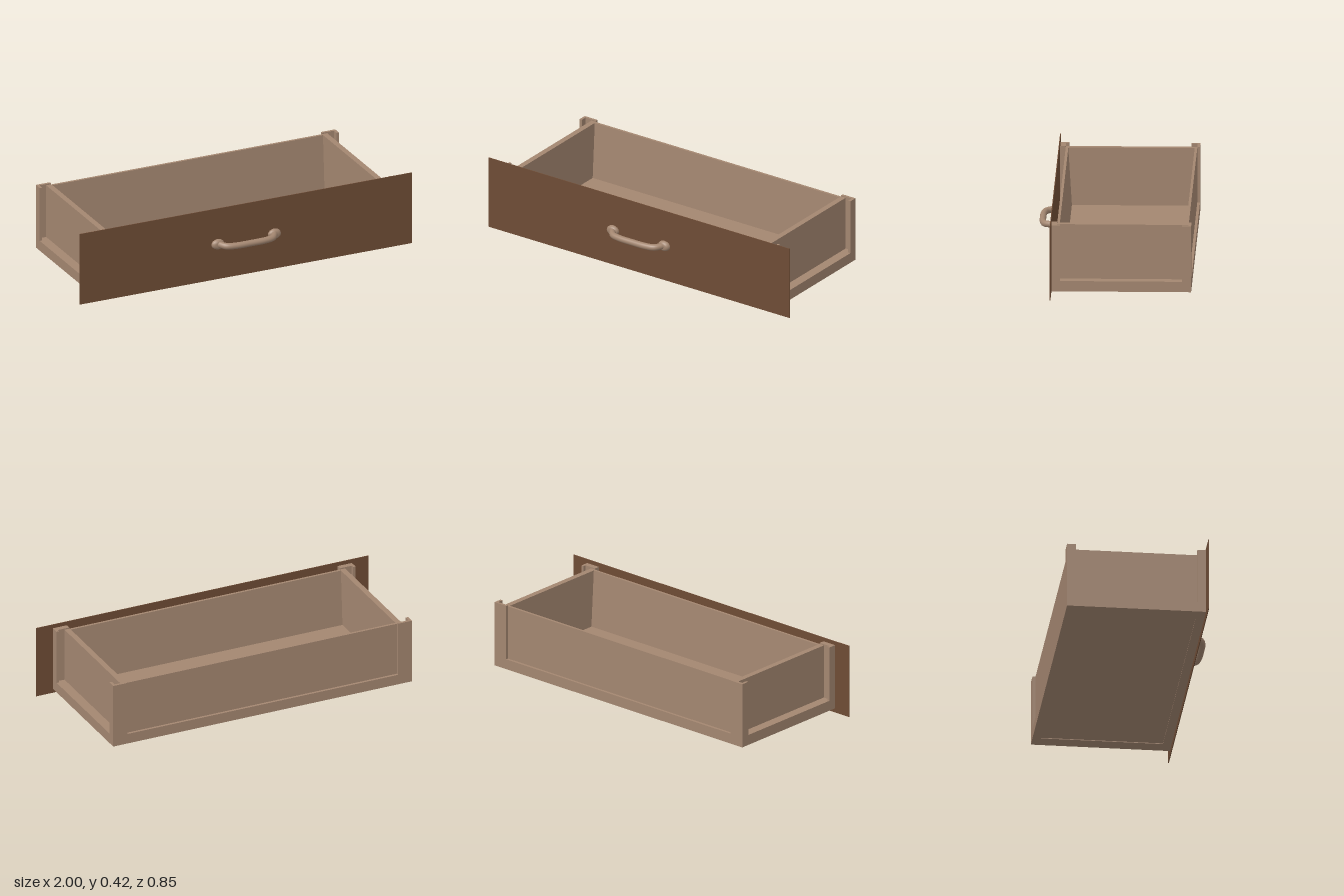
import * as THREE from 'three';

const wood = new THREE.MeshStandardMaterial({ color: 0xa38670 });
wood.name = 'light wood';
const darkWood = new THREE.MeshStandardMaterial({ color: 0x6e4c35 });
darkWood.name = 'dark wood';

export function createModel() {
  const root = new THREE.Group();
  root.name = 'drawer';

  const add = (name, geometry, material = wood) => {
    const mesh = new THREE.Mesh(geometry, material);
    mesh.name = name;
    root.add(mesh);
    return mesh;
  };
  // Box given by its lower and upper limits on each axis
  const box = (name, x0, x1, y0, y1, z0, z1, material) => {
    const mesh = add(name, new THREE.BoxGeometry(x1 - x0, y1 - y0, z1 - z0), material);
    mesh.position.set((x0 + x1) / 2, (y0 + y1) / 2, (z0 + z1) / 2);
    return mesh;
  };

  const base = 0.025, rail = 0.083, wallTop = 0.388, postTop = 0.395;
  const back = -0.425, front = 0.335;

  // Thin front board
  box('frontBoard', -1, 1, 0, 0.416, 0.337, 0.341, darkWood);

  // Floor, set slightly above the underside of the frame
  box('floor', -0.845, 0.845, base + 0.004, 0.065, -0.41, 0.305);

  // Bottom frame with a rectangular opening
  const frame = new THREE.Shape();
  frame.moveTo(-0.9, back).lineTo(0.9, back).lineTo(0.9, front).lineTo(-0.9, front).closePath();
  const hole = new THREE.Path();
  hole.moveTo(-0.815, -0.378).lineTo(-0.815, 0.288).lineTo(0.815, 0.288).lineTo(0.815, -0.378).closePath();
  frame.holes.push(hole);
  const frameGeo = new THREE.ExtrudeGeometry(frame, { depth: 0.02, bevelEnabled: false });
  frameGeo.rotateX(Math.PI / 2);
  add('bottomFrame', frameGeo).position.y = base + 0.02;

  // Bottom rails around the box
  box('backRail', -0.9, 0.9, base, rail, back, -0.41);
  box('frontRail', -0.9, 0.9, base, rail, 0.305, front);

  // Side walls, side rails and L-shaped corner posts
  for (const s of [-1, 1]) {
    const sideBox = (name, x0, x1, y0, y1, z0, z1) =>
      box(name, Math.min(s * x0, s * x1), Math.max(s * x0, s * x1), y0, y1, z0, z1);
    sideBox('sideWall', 0.813, 0.845, 0.04, wallTop, -0.41, 0.305);
    sideBox('sideRail', 0.845, 0.9, base, rail, back, front);
    sideBox('backPostSide', 0.885, 0.9, base, postTop, back, -0.376);
    sideBox('backPostEnd', 0.815, 0.9, base, postTop, back, -0.41);
    sideBox('frontPostSide', 0.885, 0.9, base, postTop, 0.288, front);
    sideBox('frontPostEnd', 0.815, 0.9, base, postTop, 0.305, front);
  }

  // Front and back walls, with inner faces that lean outward toward the top
  const wall = (name, outer, innerTop, innerBottom) => {
    const p = new THREE.Shape();
    p.moveTo(-outer, 0.04).lineTo(-innerBottom, 0.04).lineTo(-innerTop, wallTop).lineTo(-outer, wallTop).closePath();
    const geo = new THREE.ExtrudeGeometry(p, { depth: 1.69, bevelEnabled: false });
    geo.translate(0, 0, -0.845);
    geo.rotateY(Math.PI / 2);
    add(name, geo);
  };
  wall('backWall', -0.41, -0.396, -0.375);
  wall('frontWall', 0.305, 0.291, 0.27);

  // Bowed handle bar
  const half = [[0.168, 0.21, 0.345], [0.158, 0.209, 0.366], [0.137, 0.207, 0.391], [0.085, 0.206, 0.403]];
  const points = [
    ...half.map(([x, y, z]) => new THREE.Vector3(-x, y, z)),
    new THREE.Vector3(0, 0.206, 0.405),
    ...half.reverse().map(([x, y, z]) => new THREE.Vector3(x, y, z)),
  ];
  add('handleBar', new THREE.TubeGeometry(new THREE.CatmullRomCurve3(points), 48, 0.018, 16));

  // Flared oval feet of the handle
  const profile = [[0.029, 0], [0.029, 0.006], [0.027, 0.014], [0.022, 0.02], [0.015, 0.024], [0, 0.025]]
    .map(([r, y]) => new THREE.Vector2(r, y));
  for (const s of [-1, 1]) {
    const foot = add('handleFoot', new THREE.LatheGeometry(profile, 24));
    foot.rotation.x = Math.PI / 2;
    foot.scale.x = 1.3;
    foot.position.set(s * 0.17, 0.208, 0.34);
  }

  return root;
}
